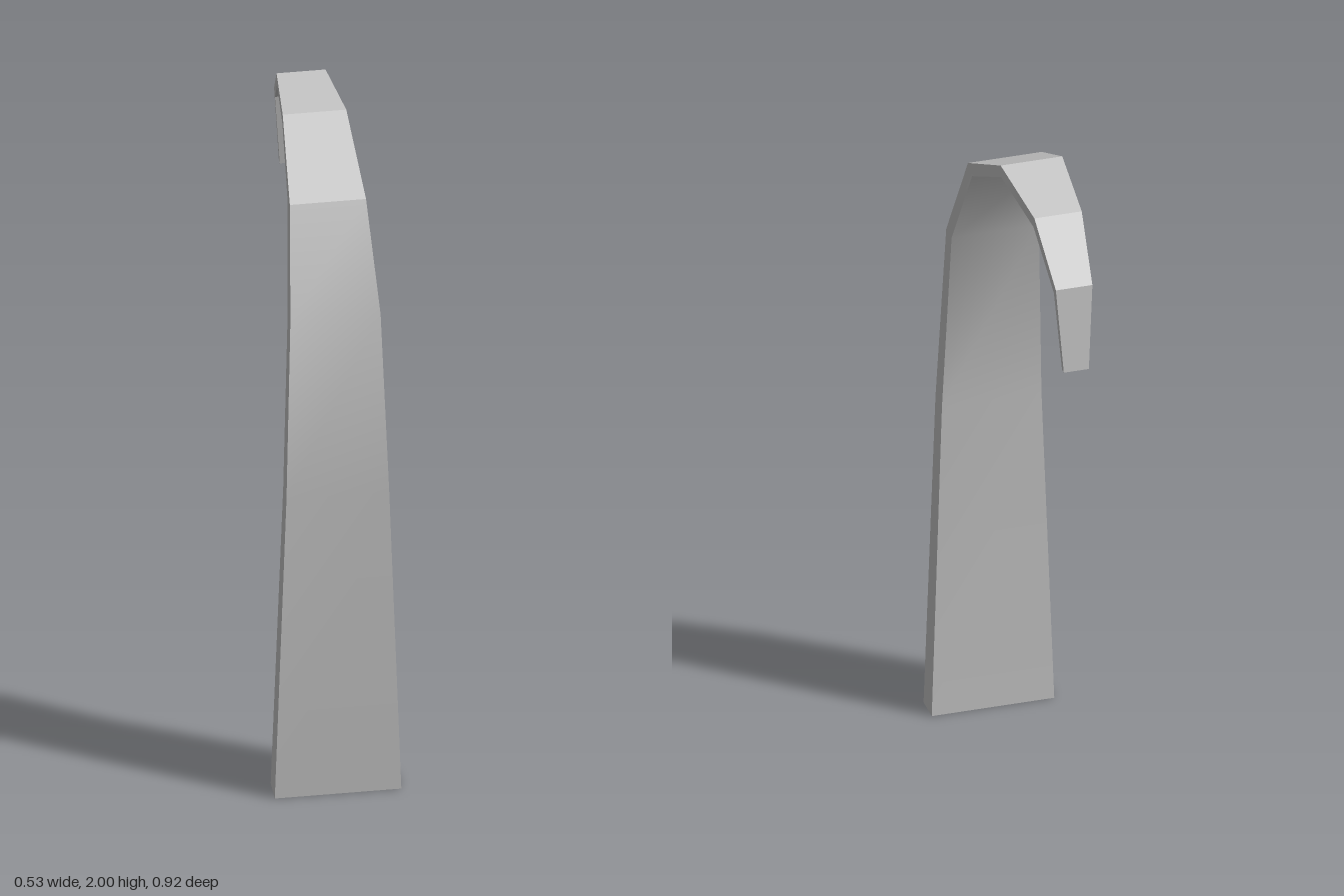
import * as THREE from 'three';
import { toCreasedNormals } from 'three/addons/utils/BufferGeometryUtils.js';

// Cross-sections from foot to tip:
// [half width, outer depth, outer height, inner depth, inner height]
const SECTIONS = [
  [0.181, 0.406, 0, 0.325, 0],
  [0.147, 0.402, 1.0, 0.338, 1.0],
  [0.129, 0.356, 1.57, 0.303, 1.57],
  [0.109, 0.208, 1.865, 0.166, 1.845],
  [0.091, -0.055, 2.0, -0.06, 1.965],
  [0.07, -0.318, 1.97, -0.31, 1.937],
  [0.054, -0.477, 1.82, -0.458, 1.8],
  [0.037, -0.499, 1.56, -0.481, 1.56],
];

// Tapering strap with a rectangular section
function hookGeometry() {
  const positions = [];
  const index = [];
  for (const [w, outZ, outY, inZ, inY] of SECTIONS) {
    positions.push(-w, outY, outZ, w, outY, outZ, w, inY, inZ, -w, inY, inZ);
  }
  const quad = (a, b, c, d) => index.push(a, b, c, a, c, d);
  const last = (SECTIONS.length - 1) * 4;
  for (let r = 0; r < last; r += 4) {
    for (let k = 0; k < 4; k++) {
      const n = (k + 1) % 4;
      quad(r + k, r + n, r + 4 + n, r + 4 + k);
    }
  }
  // End caps
  quad(3, 2, 1, 0);
  quad(last, last + 1, last + 2, last + 3);

  const geometry = new THREE.BufferGeometry();
  geometry.setAttribute('position', new THREE.Float32BufferAttribute(positions, 3));
  geometry.setIndex(index);
  return toCreasedNormals(geometry, THREE.MathUtils.degToRad(30));
}

export function createModel() {
  const group = new THREE.Group();
  group.name = 'curvedHook';
  const hook = new THREE.Mesh(
    hookGeometry(),
    new THREE.MeshStandardMaterial({ color: 0xcccccc })
  );
  hook.name = 'hookedStrap';
  // Turned about the vertical axis so that the foot looks slightly to the right
  const turn = THREE.MathUtils.degToRad(-20.2);
  hook.rotation.y = turn;
  hook.position.set(0.05 * Math.cos(turn), 0, -0.05 * Math.sin(turn));
  group.add(hook);
  return group;
}
